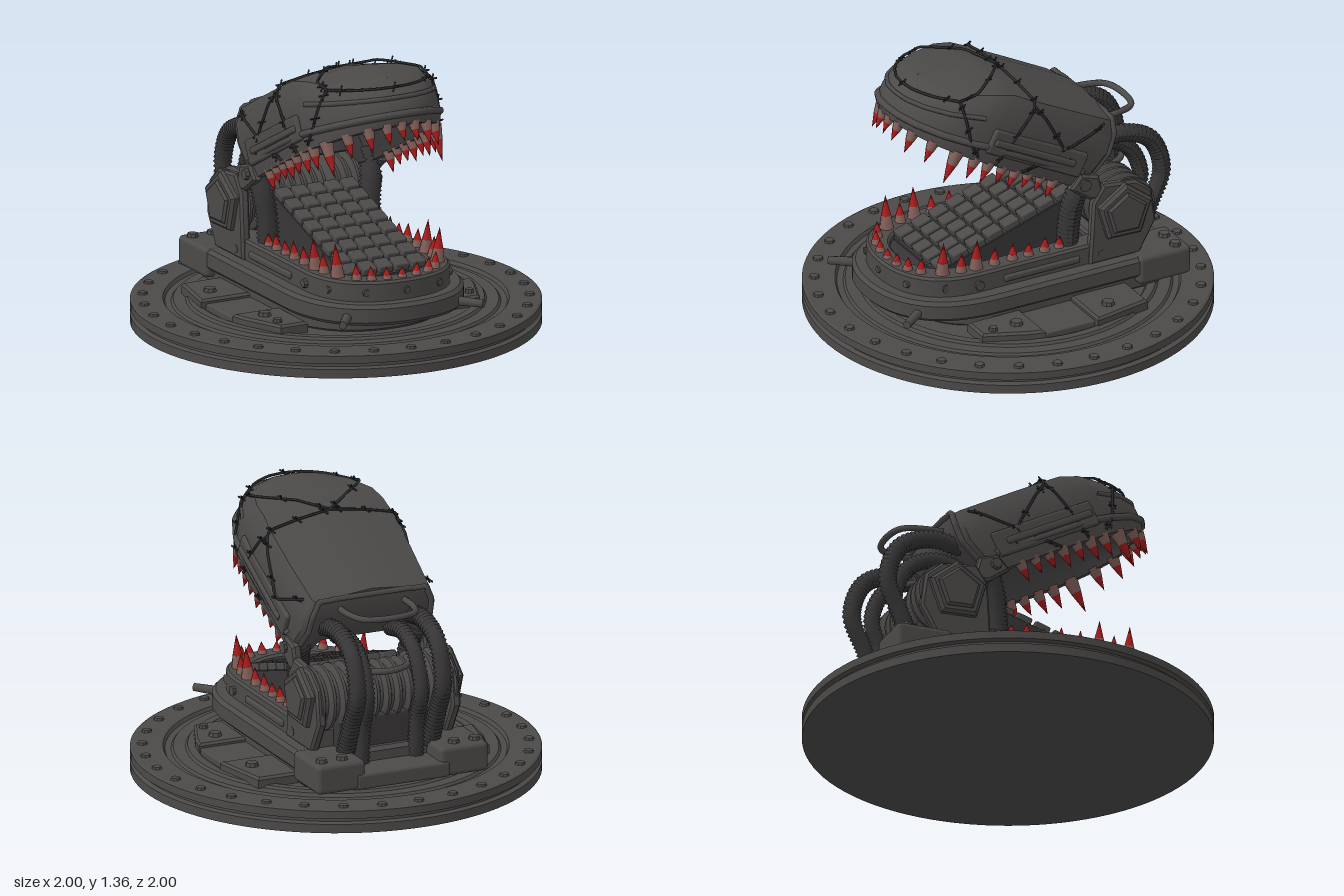
import * as THREE from 'three';
import { toCreasedNormals } from 'three/addons/utils/BufferGeometryUtils.js';
import { RoundedBoxGeometry } from 'three/addons/geometries/RoundedBoxGeometry.js';

const mat = (name, color) => Object.assign(new THREE.MeshStandardMaterial({ color }), { name });
const V = (x, y, z) => new THREE.Vector3(x, y, z);

export function createModel() {
  const steel = mat('steel', 0x4c4a49), dark = mat('dark rubber', 0x383636), wireMat = mat('black wire', 0x2b2a2a);
  const red = mat('blood red', 0xab1c1c), bone = mat('stained bone', 0x84605a);
  dark.side = THREE.DoubleSide;
  const model = new THREE.Group();
  model.name = 'trapJaw';

  function add(parent, name, geo, material = steel, pos = [0, 0, 0], rot = [0, 0, 0]) {
    const m = new THREE.Mesh(geo, material);
    m.name = name;
    m.position.set(...pos);
    m.rotation.set(...rot);
    parent.add(m);
    return m;
  }
  const box = (w, h, d, r = 0.015) => new RoundedBoxGeometry(w, h, d, 2, r);
  const crease = (g, a = 0.6) => toCreasedNormals(g, a);
  const bolt = (parent, pos, r = 0.025, rot = [0, 0, 0], h = 0.025) =>
    add(parent, 'bolt', crease(new THREE.CylinderGeometry(r * 0.8, r, h, 8)), steel, pos, rot);

  // Horizontal slab from a plan outline in x and z
  function slab(shape, y, h, bevel = 0.012) {
    const g = new THREE.ExtrudeGeometry(shape, { depth: h - 2 * bevel, bevelSize: bevel, bevelThickness: bevel, bevelOffset: -bevel, bevelSegments: 1, curveSegments: 24 });
    return crease(g.rotateX(Math.PI / 2).translate(0, y + h - bevel, 0));
  }
  // Upright plate from a side outline in z and y, centred on x
  function sidePlate(pts, x, t, bevel = 0.012) {
    const s = new THREE.Shape(pts.map(p => new THREE.Vector2(...p)));
    const g = new THREE.ExtrudeGeometry(s, { depth: t - 2 * bevel, bevelSize: bevel, bevelThickness: bevel, bevelOffset: -bevel, bevelSegments: 1 });
    return crease(g.rotateY(-Math.PI / 2).translate(x + t / 2 - bevel, 0, 0));
  }
  // U-shaped plan with a rounded front
  function uShape(w, back, straight, front, C = THREE.Shape) {
    const s = new C();
    s.moveTo(-w, back);
    s.lineTo(w, back);
    s.lineTo(w, straight);
    s.bezierCurveTo(w, straight + (front - straight) * 0.65, w * 0.62, front, 0, front);
    s.bezierCurveTo(-w * 0.62, front, -w, straight + (front - straight) * 0.65, -w, straight);
    s.closePath();
    return s;
  }
  // Corrugated hose
  function hose(parent, name, pts, r) {
    const curve = new THREE.CatmullRomCurve3(pts.map(p => V(...p)));
    const n = Math.round(curve.getLength() / 0.011);
    const g = new THREE.TubeGeometry(curve, n, r, 12), p = g.attributes.position, v = V();
    for (let i = 0; i <= n; i++) for (let j = 0; j <= 12; j++) {
      const c = curve.getPointAt(i / n), k = i * 13 + j;
      v.fromBufferAttribute(p, k).sub(c).multiplyScalar(i % 2 ? 1.05 : 0.82).add(c);
      p.setXYZ(k, v.x, v.y, v.z);
    }
    g.computeVertexNormals();
    add(parent, name, g, dark);
  }
  // Fang with a bone root and a red tip
  function tooth(parent, pos, len, down, tilt = 0) {
    const t = new THREE.Group(), r = 0.022 + len * 0.09;
    t.name = 'tooth';
    add(t, 'toothRoot', new THREE.CylinderGeometry(r * 0.68, r, len * 0.42, 8), bone, [0, len * 0.21, 0]);
    add(t, 'toothTip', new THREE.ConeGeometry(r * 0.68, len * 0.6, 8), red, [0, len * 0.71, 0]);
    t.position.set(...pos);
    t.rotation.set(down ? Math.PI : 0, 0, tilt);
    parent.add(t);
  }

  // Round base with side groove, stepped top and a ring of bolts
  const prof = [[0, 0], [1, 0], [1, 0.045], [0.975, 0.052], [0.975, 0.066], [1, 0.073], [1, 0.112], [0.99, 0.117], [0.84, 0.117], [0.83, 0.1],
    [0.8, 0.1], [0.79, 0.112], [0.73, 0.112], [0.72, 0.125], [0.68, 0.125], [0.67, 0.112], [0, 0.112]];
  add(model, 'base', crease(new THREE.LatheGeometry(prof.map(p => new THREE.Vector2(...p)), 96), 0.4));
  for (let i = 0; i < 31; i++) {
    const a = i / 31 * Math.PI * 2;
    bolt(model, [Math.sin(a) * 0.94, 0.12, -Math.cos(a) * 0.94], 0.028, [0, a, 0], 0.016);
  }

  // Chassis and lower jaw
  add(model, 'pedestal', slab(uShape(0.41, -0.6, 0.15, 0.6), 0.11, 0.1));
  add(model, 'skirt', slab(uShape(0.45, -0.6, 0.3, 0.79), 0.19, 0.105, 0.018));
  const jaw = uShape(0.37, -0.5, 0.36, 0.72);
  jaw.holes.push(uShape(0.25, -0.3, 0.36, 0.61, THREE.Path));
  add(model, 'lowerJaw', slab(jaw, 0.28, 0.115));
  add(model, 'jawFloor', slab(uShape(0.27, -0.35, 0.36, 0.63), 0.28, 0.08), dark);
  for (const x of [-0.2, 0, 0.2]) bolt(model, [x, 0.34, x ? 0.675 : 0.715], 0.022, [Math.PI / 2, 0, -x]);

  // Ramp tongue with a grid of raised blocks
  add(model, 'tongueRamp', sidePlate([[0.52, 0.33], [0.52, 0.37], [-0.26, 0.615], [-0.26, 0.33]], 0, 0.44, 0.004), dark);
  const tongue = new THREE.Group();
  tongue.name = 'tongueBlocks';
  tongue.position.set(0, 0.375, 0.52);
  tongue.rotation.x = 0.305;
  for (let r = 0; r < 8; r++) for (let c = -2; c <= 2; c++)
    add(tongue, 'tongueBlock', box(0.074, 0.04, 0.082, 0.008), steel, [c * 0.09, 0.01, -0.05 - r * 0.1]);
  model.add(tongue);

  // Lower teeth: x, z, length
  const lower = [[0.08, 0.665, 0.07], [0.155, 0.645, 0.08], [0.215, 0.605, 0.09], [0.275, 0.52, 0.18], [0.3, 0.43, 0.11], [0.305, 0.35, 0.17],
    [0.31, 0.25, 0.1], [0.31, 0.15, 0.1], [0.31, 0.06, 0.08], [0.31, -0.03, 0.09], [0.31, -0.11, 0.07]];
  tooth(model, [0, 0.385, 0.67], 0.06);
  for (const [x, z, l] of lower) for (const s of [1, -1]) tooth(model, [x * s, 0.385, z], l, false, -0.08 * s);

  // Ribbed drum between the cheeks
  const drum = [[0, -0.36]];
  for (let i = 0; i <= 48; i++) {
    const x = -0.36 + i * 0.015;
    drum.push([(Math.abs(x) < 0.15 ? 0.13 : 0.145) + (i % 4 < 2 ? 0.018 : -0.012), x]);
  }
  drum.push([0, 0.36]);
  add(model, 'drum', crease(new THREE.LatheGeometry(drum.map(p => new THREE.Vector2(...p)), 28)), steel, [0, 0.54, -0.45], [0, 0, Math.PI / 2]);
  add(model, 'drumCradle', box(0.5, 0.26, 0.2), dark, [0, 0.32, -0.46]);
  add(model, 'drumHoop', new THREE.TorusGeometry(0.16, 0.016, 8, 20, Math.PI), steel, [0, 0.68, -0.45], [-Math.PI / 2, 0, 0]);
  add(model, 'rearPlate', box(0.5, 0.08, 0.24), steel, [0, 0.19, -0.65]);

  for (const s of [1, -1]) {
    // Cheek plates with five-sided covers
    add(model, 'cheekPlate', sidePlate([[-0.24, 0.29], [-0.26, 0.62], [-0.32, 0.71], [-0.5, 0.69], [-0.585, 0.62], [-0.61, 0.45], [-0.52, 0.29]], s * 0.36, 0.05));
    const penta = (r) => [0, 1, 2, 3, 4].map(i => {
      const a = 0.35 + i * Math.PI * 0.4;
      return [-0.425 + Math.cos(a) * r, 0.545 + Math.sin(a) * r];
    });
    add(model, 'cheekCover', sidePlate(penta(0.155), s * 0.395, 0.05, 0.015));
    add(model, 'cheekCap', sidePlate(penta(0.115), s * 0.42, 0.03));
    // Jaw side slot and bolts
    add(model, 'jawSlot', box(0.03, 0.035, 0.42, 0.012), steel, [s * 0.37, 0.335, 0.02]);
    for (const z of [0.37, -0.31]) bolt(model, [s * 0.375, 0.335, z], 0.026, [0, 0, Math.PI / 2]);
    bolt(model, [s * 0.33, 0.34, 0.53], 0.024, [0, 0, Math.PI / 2]);
    // Rear feet
    add(model, 'rearFoot', box(0.26, 0.15, 0.29, 0.025), steel, [s * 0.33, 0.225, -0.62]);
    for (const x of [0.3, 0.41]) bolt(model, [s * x, 0.305, -0.7], 0.032);
    add(model, 'frontPeg', new THREE.CylinderGeometry(0.02, 0.024, 0.13, 10), steel, [s * 0.35, 0.23, 0.73], [Math.PI / 2, 0, -s * 0.65]);
    // Bolted pads on the base
    const pad = (pts) => new THREE.Shape(pts.map(([x, z]) => new THREE.Vector2(x * s, z)));
    add(model, 'rearPad', slab(pad([[0.4, -0.43], [0.62, -0.43], [0.68, -0.12], [0.4, -0.12]]), 0.1, 0.065));
    add(model, 'frontPad', slab(pad([[0.4, 0.16], [0.66, 0.16], [0.64, 0.24], [0.55, 0.45], [0.4, 0.45]]), 0.1, 0.065));
    add(model, 'middlePad', box(0.25, 0.04, 0.28, 0.008), steel, [s * 0.53, 0.125, 0.02]);
    bolt(model, [s * 0.565, 0.17, -0.24], 0.036);
    bolt(model, [s * 0.53, 0.17, 0.25], 0.036);
    bolt(model, [s * 0.53, 0.17, 0.38], 0.025);
    // Hoses and front springs
    const x = s * 0.23, xi = s * 0.145;
    hose(model, 'outerHose', [[x, 0.86, -0.34], [x, 0.88, -0.5], [x, 0.81, -0.66], [x, 0.63, -0.725], [x, 0.46, -0.66], [x, 0.27, -0.58]], 0.045);
    hose(model, 'innerHose', [[xi, 0.79, -0.3], [xi, 0.81, -0.46], [xi, 0.74, -0.59], [xi, 0.58, -0.655], [xi, 0.42, -0.61], [xi, 0.2, -0.59]], 0.04);
    hose(model, 'jawSpring', [[s * 0.28, 0.36, -0.17], [s * 0.285, 0.52, -0.18], [s * 0.3, 0.64, -0.2], [s * 0.32, 0.76, -0.26]], 0.055);
    // Hinge
    add(model, 'hingeBracket', sidePlate([[-0.14, 0.72], [-0.2, 0.79], [-0.3, 0.76], [-0.33, 0.64], [-0.25, 0.64]], s * 0.35, 0.05));
    bolt(model, [s * 0.38, 0.735, -0.215], 0.032, [0, 0, Math.PI / 2]);
  }

  // Upper head: z runs along the lip, y rises from it
  const head = new THREE.Group();
  head.name = 'upperHead';
  head.position.set(0, 0.7, -0.22);
  head.rotation.x = -0.478;
  model.add(head);
  const half = [[0, -0.03], [0.2, -0.03], [0.32, -0.03], [0.345, 0], [0.36, 0.25], [0.365, 0.5], [0.345, 0.72], [0.285, 0.87], [0.19, 0.97], [0.09, 1.02], [0, 1.03]];
  const plan = [...half, ...half.slice(1, -1).reverse().map(([x, z]) => [-x, z])], N = plan.length;
  // Rings from lip to spine: width, front and back scale, height share
  const rings = [[1, 0.96, 0.95, 0], [1.02, 1, 1, 0.2], [1.02, 1, 1.08, 0.5], [1, 0.97, 1.06, 0.75], [0.9, 0.9, 1, 0.93], [0.5, 0.86, 0.98, 0.99], [0, 0.84, 0.97, 1.03]];
  const lerp = THREE.MathUtils.lerp, mid = 0.45;
  function skin(i, r, inner = false) {
    const a = Math.floor(i), k = Math.min(Math.floor(r), 5);
    const [px, pz] = plan[a % N].map((v, j) => lerp(v, plan[(a + 1) % N][j], i - a));
    const [sx, sf, sb, f] = rings[k].map((v, j) => lerp(v, rings[k + 1][j], r - k));
    const z = mid + (pz - mid) * (pz > mid ? sf : sb);
    const roof = 0.385 - Math.max(0, z - 0.63) * 0.45;
    const gap = Math.abs(px) < 0.25 && pz < 0 ? 0.07 * (1 - f) : 0;
    return inner ? V(px * sx * 0.88, roof * f * 0.86 + gap, mid + (z - mid) * 0.92) : V(px * sx, roof * f + gap, z);
  }
  function loft(rows) {
    const pos = [], idx = [], D = N * 2;
    rows.forEach(([r, inner], k) => {
      for (let i = 0; i < D; i++) {
        pos.push(...skin(i / 2, r, inner).toArray());
        const a = k * D + i, b = k * D + (i + 1) % D;
        if (k < rows.length - 1) idx.push(a, a + D, b, b, a + D, b + D);
      }
    });
    const g = new THREE.BufferGeometry();
    g.setAttribute('position', new THREE.Float32BufferAttribute(pos, 3));
    g.setIndex(idx);
    return crease(g, 0.55);
  }
  const levels = rings.map((_, i) => i);
  add(head, 'headShell', loft([[0, true], ...levels.map(r => [r, false])]));
  add(head, 'mouthLining', loft(levels.slice().reverse().map(r => [r, true])), dark);

  // Lip bead, side panels and rear ridge
  const along = (list, lift = 1.015) => new THREE.CatmullRomCurve3(list.map(([i, r]) => {
    const p = skin(i, r);
    return V(p.x * lift, p.y + 0.008, mid + (p.z - mid) * lift);
  }));
  const path = (a, b, n = 14) => Array.from({ length: n + 1 }, (_, k) => [lerp(a[0], b[0], k / n), lerp(a[1], b[1], k / n)]);
  add(head, 'lipBead', new THREE.TubeGeometry(along(path([3.2, 1], [16.8, 1], 40), 1), 80, 0.018, 8));
  add(head, 'browBead', new THREE.TubeGeometry(along(path([6, 2.4], [14, 2.4], 30), 1), 60, 0.012, 6));
  add(head, 'rearRidge', new THREE.TubeGeometry(along([...path([2, 1], [2, 4]), ...path([1.8, 4.1], [0, 4.1]), ...path([19.9, 4.1], [18.2, 4.1]), ...path([18, 4], [18, 1])], 1), 80, 0.015, 6));
  for (const s of [1, -1]) {
    add(head, 'sidePanel', box(0.03, 0.13, 0.58, 0.014), steel, [s * 0.366, 0.12, 0.36]);
    add(head, 'sideRail', box(0.03, 0.035, 0.5, 0.012), steel, [s * 0.378, 0.12, 0.38]);
  }

  // Upper teeth: outline position and length
  const upper = [[9.1, 0.1], [8.2, 0.12], [7.3, 0.12], [6.4, 0.18], [5.8, 0.12], [5.4, 0.12], [5.0, 0.1], [4.65, 0.11], [4.3, 0.09], [3.95, 0.09], [3.6, 0.11]];
  for (const [i, l] of [[10, 0.09], ...upper, ...upper.map(([i, l]) => [20 - i, l])]) {
    const p = skin(i, 0);
    tooth(head, [p.x * 0.93, 0.012, mid + (p.z - mid) * 0.97], l, true);
  }

  // Barbed wire wound over the head
  function wire(a, b) {
    const c = along(path(a, b), 1.02);
    add(head, 'wire', new THREE.TubeGeometry(c, 40, 0.007, 5), wireMat);
    for (const t of [0.1, 0.5, 0.9]) for (const q of [0.7, -0.7])
      add(head, 'barb', new THREE.BoxGeometry(0.055, 0.007, 0.007), wireMat, c.getPointAt(t).toArray(), [q, q * 1.3, q]);
  }
  for (const m of [i => i, i => 20 - i]) {
    wire([m(5.2), 6], [m(4.9), 3.6]);
    wire([m(5.2), 6], [m(7), 3.4]);
    wire([m(4.9), 3.6], [m(5.3), 0]);
    wire([m(4.9), 3.6], [m(3.6), 1]);
    wire([m(3.2), 3.6], [m(4.6), 0]);
    wire([m(7), 3.4], [m(5.8), 0.2]);
  }
  wire([7, 3.4], [13, 3.4]);

  // Rear handle
  const grip = new THREE.CatmullRomCurve3([[-0.17, -0.36], [-0.17, -0.5], [-0.13, -0.61], [0, -0.64], [0.13, -0.61], [0.17, -0.5], [0.17, -0.36]].map(([x, z]) => V(x, 0.96, z)));
  add(model, 'handle', new THREE.TubeGeometry(grip, 40, 0.016, 8));
  return model;
}
